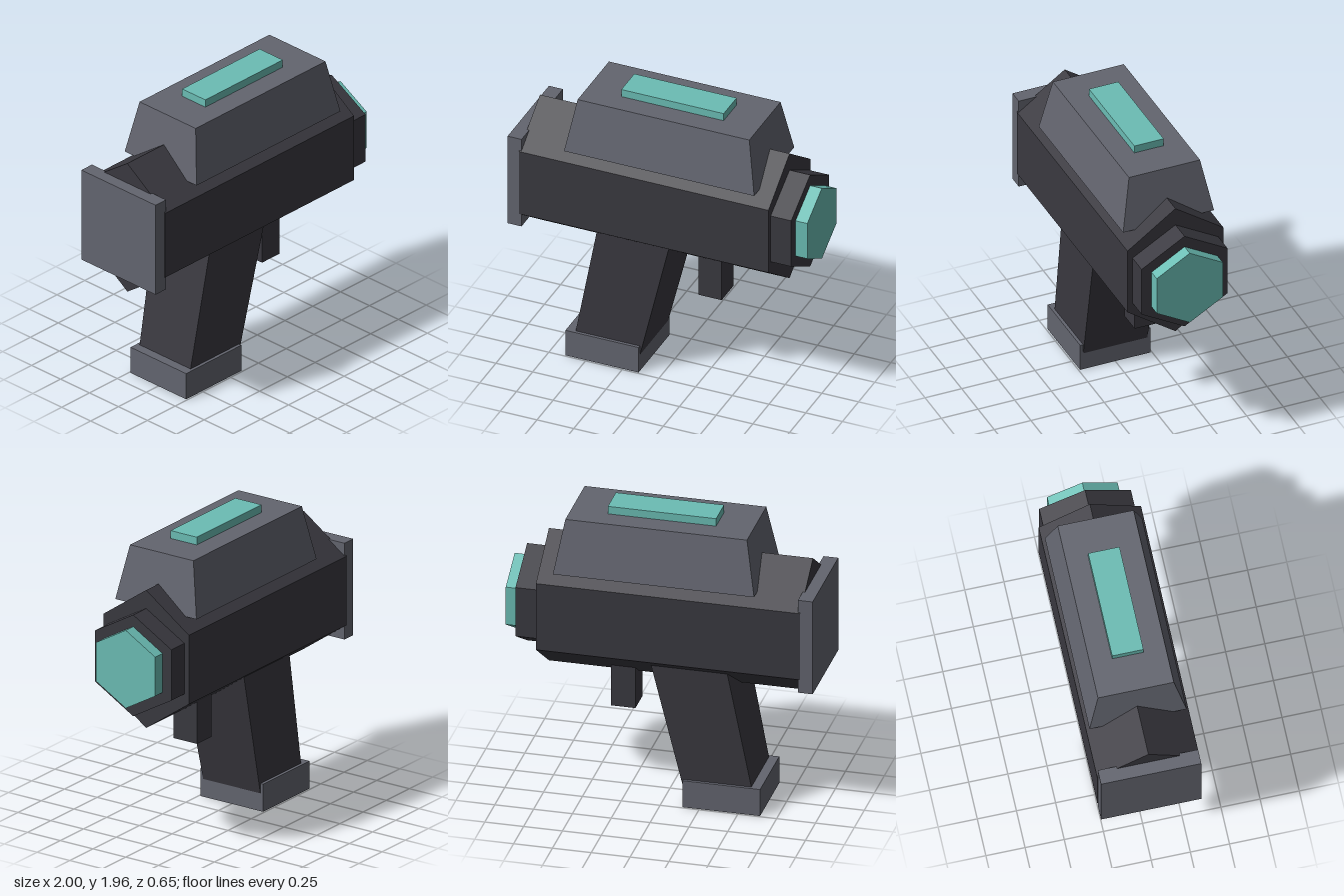
import * as THREE from 'three';

const mat = (name, color) => {
  const m = new THREE.MeshStandardMaterial({ color });
  m.name = name;
  m.flatShading = true;
  return m;
};

// Box between two rectangles: [xMin, xMax, halfDepth] at the bottom and at the top
function taperedBox(y0, y1, bottom, top) {
  const g = new THREE.BoxGeometry(1, 1, 1);
  const p = g.attributes.position;
  for (let i = 0; i < p.count; i++) {
    const isTop = p.getY(i) > 0;
    const [xMin, xMax, halfZ] = isTop ? top : bottom;
    p.setXYZ(i, p.getX(i) > 0 ? xMax : xMin, isTop ? y1 : y0, Math.sign(p.getZ(i)) * halfZ);
  }
  g.computeVertexNormals();
  return g;
}

const box = (x0, x1, y0, y1, halfZ) => taperedBox(y0, y1, [x0, x1, halfZ], [x0, x1, halfZ]);

// Hexagonal prism along x, with a corner pointing up
function hexPrism(x0, x1, radius, zScale = 1) {
  const g = new THREE.CylinderGeometry(radius, radius, x1 - x0, 6, 1, false, Math.PI / 2);
  g.rotateZ(-Math.PI / 2);
  g.scale(1, 1, zScale);
  g.translate((x0 + x1) / 2, 1.253, 0);
  return g;
}

export function createModel() {
  const group = new THREE.Group();
  const dark = mat('dark casing', 0x3a3940);
  const grey = mat('grey casing', 0x63656f);
  const teal = mat('teal glow', 0x6bbdb4);

  const add = (name, geometry, material) => {
    const mesh = new THREE.Mesh(geometry, material);
    mesh.name = name;
    group.add(mesh);
  };

  // Barrel, stepping down to the lens at +x
  add('body', hexPrism(-0.92, 0.78, 0.46, 0.82), dark);
  add('muzzleRing', hexPrism(0.77, 0.92, 0.338), dark);
  add('lens', hexPrism(0.91, 1.0, 0.26), teal);
  add('backPlate', box(-1.0, -0.905, 0.93, 1.572, 0.32), grey);

  // Top housing and its light strip
  add('topHousing', taperedBox(1.553, 1.91, [-0.62, 0.675, 0.31], [-0.557, 0.612, 0.242]), grey);
  add('lightStrip', box(-0.322, 0.375, 1.9, 1.962, 0.1), teal);

  // Slanted grip, its foot and the trigger
  add('grip', taperedBox(0.11, 1.05, [-0.594, -0.145, 0.218], [-0.412, 0.083, 0.24]), dark);
  add('gripBase', box(-0.641, -0.143, 0, 0.184, 0.24), grey);
  add('trigger', box(0.2, 0.357, 0.575, 0.95, 0.09), dark);

  return group;
}
